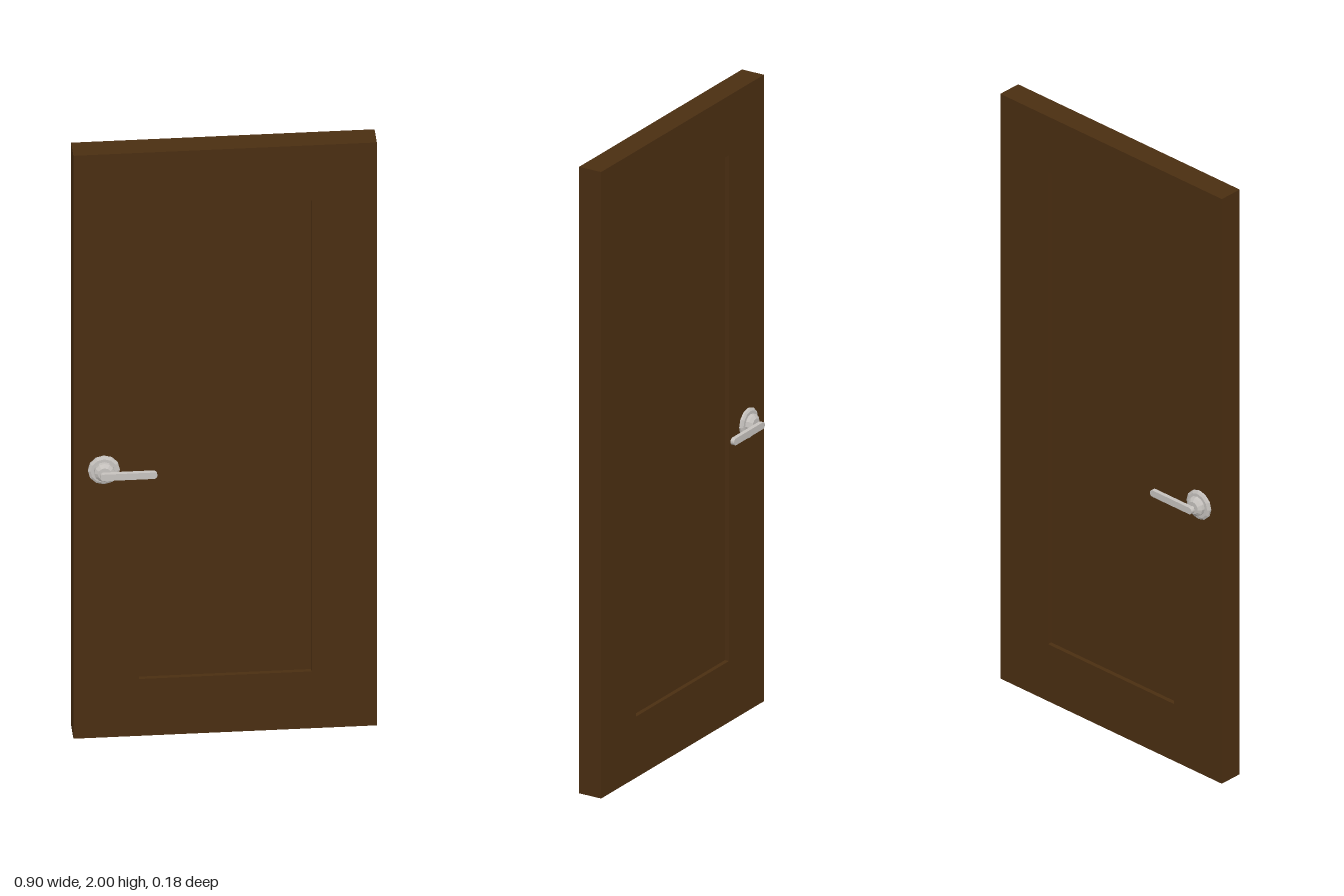
import * as THREE from 'three';

const W = 0.9, H = 2, T = 0.077;              // door width, height, thickness
const PANEL = { x: 0.256, y0: 0.195, y1: 1.81, recess: 0.014 };
const HANDLE = { x: -0.36, y: 0.92 };

function rectPoints(x0, y0, x1, y1) {
  return [[x0, y0], [x1, y0], [x1, y1], [x0, y1]].map(([x, y]) => new THREE.Vector2(x, y));
}

// Lever outline: a long bar with rounded ends
function leverShape(x0, x1, r) {
  const s = new THREE.Shape();
  s.moveTo(x0 + r, -r);
  s.lineTo(x1 - r, -r);
  s.absarc(x1 - r, 0, r, -Math.PI / 2, Math.PI / 2, false);
  s.lineTo(x0 + r, r);
  s.absarc(x0 + r, 0, r, Math.PI / 2, Math.PI * 1.5, false);
  return s;
}

// Handle for the front face, with its base at z = T / 2
function createHandle(metal) {
  const handle = new THREE.Group();
  const add = (name, geometry) => {
    const mesh = new THREE.Mesh(geometry, metal);
    mesh.name = name;
    handle.add(mesh);
  };
  const turned = (points) => {
    const profile = points.map(([r, z]) => new THREE.Vector2(r, z));
    return new THREE.LatheGeometry(profile, 12).rotateX(Math.PI / 2).translate(HANDLE.x, HANDLE.y, 0);
  };

  // Stepped round plate against the door
  add('rosette', turned([[0.0475, 0.037], [0.0475, 0.045], [0.04, 0.049], [0, 0.049]]));
  add('collar', turned([[0.0305, 0.048], [0.0305, 0.06], [0.02, 0.068], [0, 0.068]]));
  add('neck', turned([[0.006, 0.067], [0.006, 0.078]]));

  // Flat lever pointing towards the middle of the door
  const lever = new THREE.ExtrudeGeometry(leverShape(-0.375, -0.205, 0.011), {
    depth: 0.013, bevelEnabled: false, curveSegments: 4,
  });
  add('lever', lever.translate(0, HANDLE.y, 0.076));
  return handle;
}

export function createModel() {
  const wood = new THREE.MeshStandardMaterial({ color: 0x4a2e11 });
  wood.name = 'dark wood';
  const metal = new THREE.MeshStandardMaterial({ color: 0xc6c2be });
  metal.name = 'brushed metal';
  metal.flatShading = true;

  const door = new THREE.Group();
  door.name = 'door';

  // Surrounding frame with an opening for the panel
  const outline = new THREE.Shape(rectPoints(-W / 2, 0, W / 2, H));
  outline.holes.push(new THREE.Path(rectPoints(-PANEL.x, PANEL.y0, PANEL.x, PANEL.y1)));
  const frameGeometry = new THREE.ExtrudeGeometry(outline, { depth: T, bevelEnabled: false });
  const frame = new THREE.Mesh(frameGeometry.translate(0, 0, -T / 2), wood);
  frame.name = 'doorFrame';
  door.add(frame);

  // Panel sunk on both faces
  const panel = new THREE.Mesh(
    new THREE.BoxGeometry(PANEL.x * 2, PANEL.y1 - PANEL.y0, T - PANEL.recess * 2), wood);
  panel.position.y = (PANEL.y0 + PANEL.y1) / 2;
  panel.name = 'recessedPanel';
  door.add(panel);

  // One handle on each face; the back one is turned over about the lever's axis
  const front = createHandle(metal);
  front.name = 'frontHandle';
  const back = createHandle(metal);
  back.name = 'backHandle';
  back.rotation.x = Math.PI;
  back.position.y = HANDLE.y * 2;
  door.add(front, back);

  return door;
}
